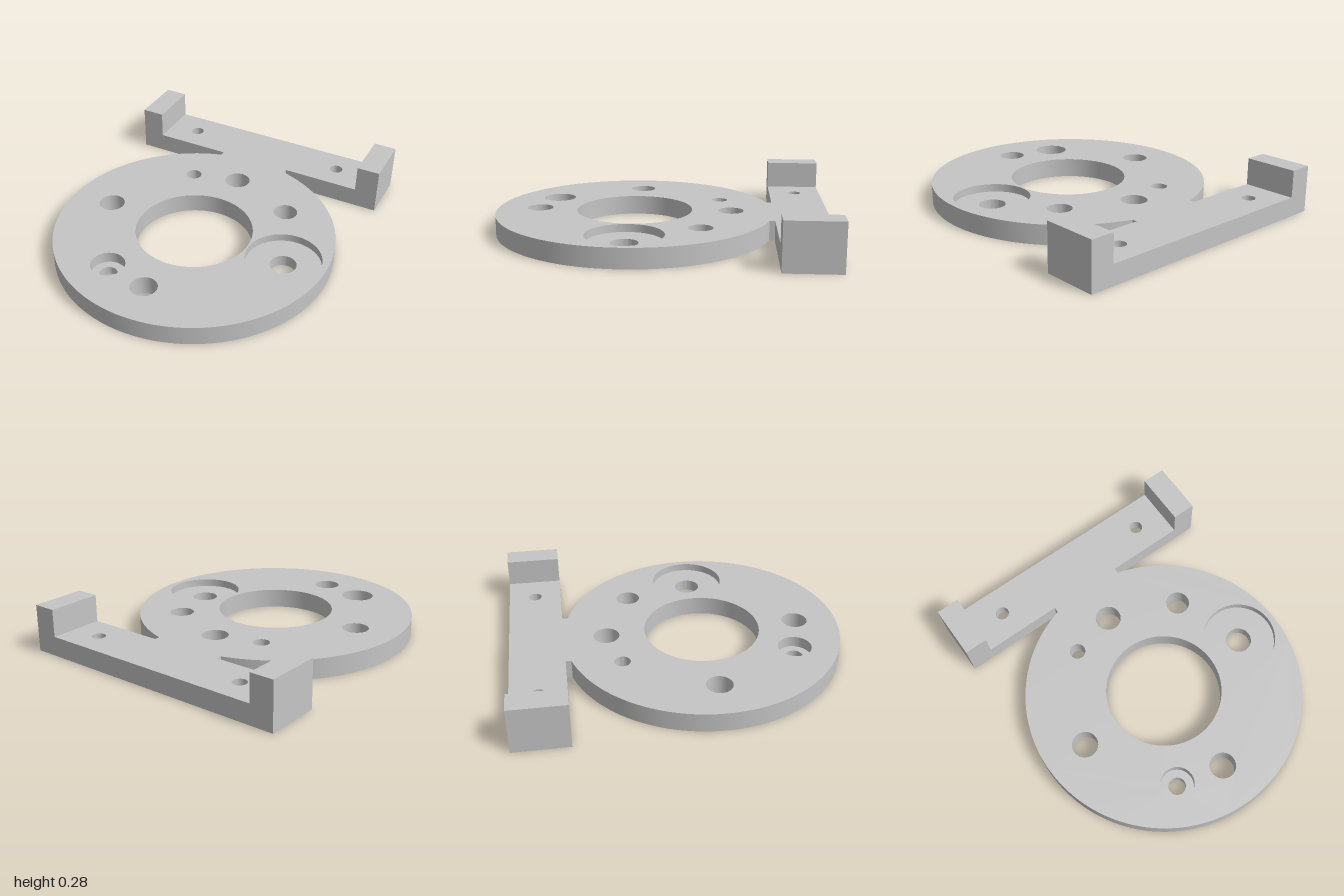
import * as THREE from 'three';
import { toCreasedNormals } from 'three/addons/utils/BufferGeometryUtils.js';

const T = 0.117; // plate thickness
const DISC = { z: 0.163, r: 0.837 };
const BAR = { x: 0.845, back: -1, front: -0.675 };
const NECK = 0.23;

// Each hole: centre, radius at the top, radius at the bottom, height of the step between them
const HOLES = [
  { name: 'centreBore', x: 0, z: 0.163, top: 0.349, bottom: 0.349, n: 96 },
  { name: 'backHole', x: 0, z: -0.42, top: 0.078, bottom: 0.078 },
  { name: 'frontHole', x: 0, z: 0.744, top: 0.078, bottom: 0.078 },
  { name: 'rightHole', x: -0.58, z: 0.163, top: 0.078, bottom: 0.078 },
  { name: 'leftRecessedHole', x: 0.58, z: 0.163, top: 0.222, bottom: 0.078, step: 0.07, n: 64 },
  { name: 'diagonalHole', x: 0.411, z: -0.248, top: 0.072, bottom: 0.072 },
  { name: 'smallHole', x: -0.28, z: -0.35, top: 0.048, bottom: 0.048 },
  { name: 'smallRecessedHole', x: -0.28, z: 0.674, top: 0.1, bottom: 0.052, step: 0.05 },
  { name: 'barHoleLeft', x: 0.515, z: -0.838, top: 0.041, bottom: 0.08, step: 0.045 },
  { name: 'barHoleRight', x: -0.515, z: -0.838, top: 0.041, bottom: 0.08, step: 0.045 },
];

// Outline of disc, neck and bar as [x, z] points
function outline() {
  const a = Math.asin(NECK / DISC.r);
  const pts = [];
  const n = 120;
  for (let i = 0; i <= n; i++) {
    const t = a + (i / n) * 2 * (Math.PI - a);
    pts.push([DISC.r * Math.sin(t), DISC.z - DISC.r * Math.cos(t)]);
  }
  pts.push([-NECK, BAR.front], [-BAR.x, BAR.front], [-BAR.x, BAR.back]);
  pts.push([BAR.x, BAR.back], [BAR.x, BAR.front], [NECK, BAR.front]);
  return pts;
}

// Flat face with holes, at the top or bottom of the plate
function face(pts, isTop) {
  const s = isTop ? -1 : 1;
  const shape = new THREE.Shape(pts.map(([x, z]) => new THREE.Vector2(x, s * z)));
  for (const h of HOLES) {
    const r = isTop ? h.top : h.bottom;
    const n = h.n || 40;
    const ring = [];
    for (let i = 0; i < n; i++) {
      const t = (i / n) * Math.PI * 2;
      ring.push(new THREE.Vector2(h.x + r * Math.sin(t), s * (h.z + r * Math.cos(t))));
    }
    shape.holes.push(new THREE.Path(ring));
  }
  return new THREE.ShapeGeometry(shape).rotateX(s * Math.PI / 2).translate(0, isTop ? T : 0, 0);
}

// Upright wall around the outline
function rim(pts) {
  const pos = [];
  pts.forEach(([x0, z0], i) => {
    const [x1, z1] = pts[(i + 1) % pts.length];
    pos.push(x0, 0, z0, x0, T, z0, x1, T, z1);
    pos.push(x0, 0, z0, x1, T, z1, x1, 0, z1);
  });
  const g = new THREE.BufferGeometry();
  g.setAttribute('position', new THREE.Float32BufferAttribute(pos, 3));
  return toCreasedNormals(g, 0.5);
}

// Inner wall of a hole, with a ledge where it changes radius
function bore(h) {
  const profile = [new THREE.Vector2(h.top, T)];
  if (h.step) profile.push(new THREE.Vector2(h.top, h.step), new THREE.Vector2(h.bottom, h.step));
  profile.push(new THREE.Vector2(h.bottom, 0));
  return toCreasedNormals(new THREE.LatheGeometry(profile, h.n || 40), 0.5);
}

export function createModel() {
  const group = new THREE.Group();
  group.name = 'mountingPlate';
  const grey = new THREE.MeshStandardMaterial({ color: 0xc5c5c5 });
  grey.name = 'lightGrey';
  const add = (name, geometry) => {
    const mesh = new THREE.Mesh(geometry, grey);
    mesh.name = name;
    group.add(mesh);
    return mesh;
  };

  // Plate
  const pts = outline();
  add('plateTop', face(pts, true));
  add('plateBottom', face(pts, false));
  add('plateRim', rim(pts));

  // Holes
  for (const h of HOLES) add(h.name, bore(h)).position.set(h.x, 0, h.z);

  // Raised blocks at the bar ends
  const height = 0.28 - T;
  const depth = BAR.front - BAR.back;
  for (const s of [-1, 1]) {
    const block = add(s > 0 ? 'endBlockLeft' : 'endBlockRight', new THREE.BoxGeometry(0.14, height, depth));
    block.position.set(s * (BAR.x - 0.07), T + height / 2, BAR.back + depth / 2);
  }
  return group;
}
